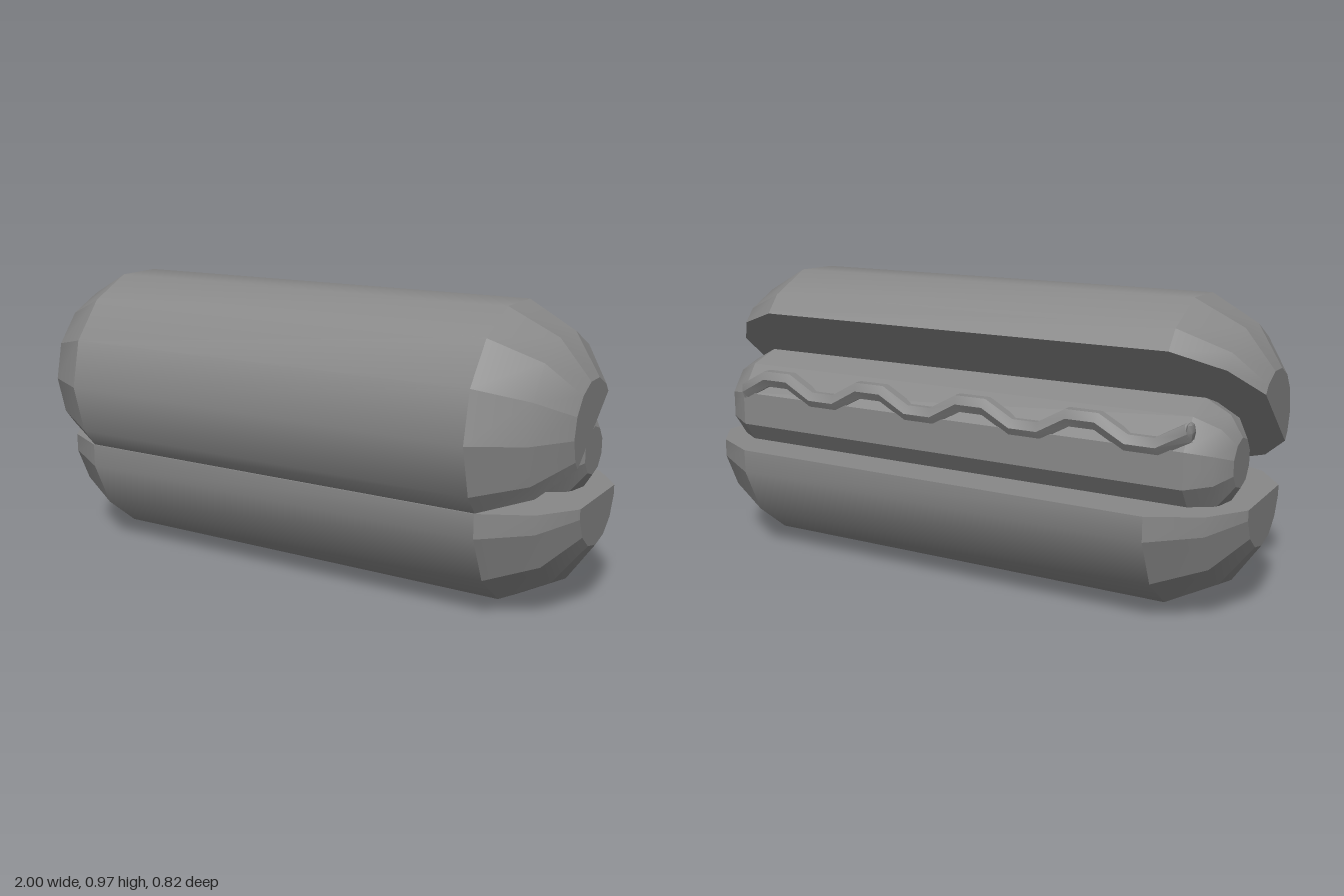
import * as THREE from 'three';
import { mergeGeometries, toCreasedNormals } from 'three/addons/utils/BufferGeometryUtils.js';

const material = () => new THREE.MeshStandardMaterial({ color: 0x888888 });

// One lengthwise strip of skin between section corners p and q [z, y],
// smooth along its length; stations are [x, scale] in rising x.
function strip(p, q, stations) {
  const pos = [];
  const idx = [];
  for (const [x, s] of stations) {
    pos.push(x, p[1] * s, p[0] * s, x, q[1] * s, q[0] * s);
  }
  for (let i = 0; i < stations.length - 1; i++) {
    const a = i * 2;
    idx.push(a, a + 1, a + 2, a + 1, a + 3, a + 2);
  }
  const g = new THREE.BufferGeometry();
  g.setAttribute('position', new THREE.Float32BufferAttribute(pos, 3));
  g.setIndex(idx);
  g.computeVertexNormals();
  return g.toNonIndexed();
}

// Flat blunt end; side is +1 or -1 along x
function endFace(section, x, scale, side) {
  const pos = [];
  const corner = ([z, y]) => pos.push(x * side, y * scale, z * scale);
  for (let j = 1; j < section.length - 1; j++) {
    const [b, c] = side > 0 ? [j, j + 1] : [j + 1, j];
    [0, b, c].forEach((k) => corner(section[k]));
  }
  const g = new THREE.BufferGeometry();
  g.setAttribute('position', new THREE.Float32BufferAttribute(pos, 3));
  g.computeVertexNormals();
  return g;
}

// Straight body with a tapered, ribbed cap at each end.
// The section runs counter-clockwise seen from +x.
function roundedBar(section, body, mid, end, crease) {
  const ring = (stations) => section.map((p, j) => strip(p, section[(j + 1) % section.length], stations));
  const barrel = mergeGeometries(ring([[-body, 1], [body, 1]]));
  return mergeGeometries([
    toCreasedNormals(barrel, crease),
    ...ring([[body, 1], [mid, 0.77], [end, 0.42]]),
    ...ring([[-end, 0.42], [-mid, 0.77], [-body, 1]]),
    endFace(section, end, 0.42, 1),
    endFace(section, end, 0.42, -1),
  ]);
}

export function createModel() {
  const model = new THREE.Group();
  const add = (name, geometry, y, z) => {
    const mesh = new THREE.Mesh(geometry, material());
    mesh.name = name;
    mesh.position.set(0, y, z);
    model.add(mesh);
    return mesh;
  };

  // Bun halves: the same half-round bar, the upper one flipped and tilted open
  const half = [[0.363, 0], [0.363, -0.08], [0.292, -0.234], [0.162, -0.337]];
  const bunSection = [...half, [0, -0.373], ...half.map(([z, y]) => [-z, y]).reverse()];
  const bun = roundedBar(bunSection, 0.75, 0.91, 1, 0.6);
  add('bottomBun', bun, 0.375, -0.042);
  add('topBun', bun, 0.606, 0.036).rotation.x = Math.PI + 0.69;

  // Sausage: ten-sided, corner up, with crisp long edges
  const sausageSection = Array.from({ length: 10 }, (_, i) => {
    const a = Math.PI / 2 + i * Math.PI / 5;
    return [-0.187 * Math.cos(a), 0.187 * Math.sin(a)];
  });
  add('sausage', roundedBar(sausageSection, 0.83, 0.91, 0.95, 0.6), 0.497, -0.125);

  // Sauce: an angular six-sided zigzag strand, two points per crest and trough
  const points = Array.from({ length: 18 }, (_, i) => {
    const y = Math.floor((i + 1) / 2) % 2 ? -0.027 : 0.027;
    return new THREE.Vector3(-0.843 + i * 0.098, y, 0);
  });
  const path = new THREE.CatmullRomCurve3(points);
  path.getUtoTmapping = (u) => u; // one tube ring exactly on each point
  const r = 0.032;
  const strand = new THREE.TubeGeometry(path, points.length - 1, r, 6);
  const ends = [[points[17], 1], [points[0], -1]].map(([p, side]) =>
    new THREE.SphereGeometry(r, 6, 4).scale(1, 1, 0.4)
      .rotateY(side * Math.PI / 2).translate(p.x, p.y, p.z));
  add('sauce', toCreasedNormals(mergeGeometries([strand, ...ends]), 0.7), 0.587, -0.285);

  return model;
}
